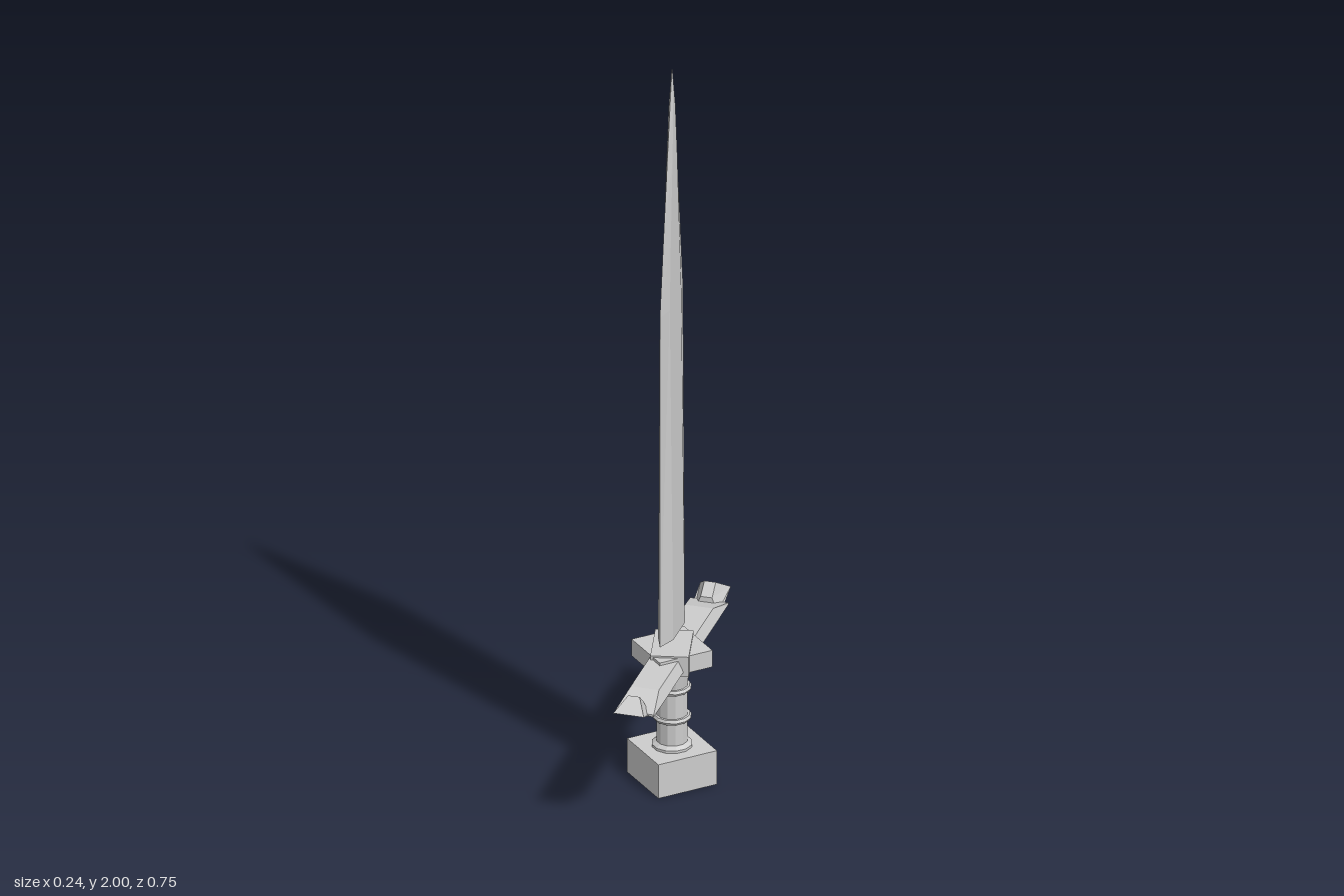
import * as THREE from 'three';

const steel = new THREE.MeshStandardMaterial({ color: 0xcccccc });
steel.name = 'steel';
steel.flatShading = true;

// Skin a row of equal-length rings (counter-clockwise seen from the far end) and cap both ends
function loft(rings) {
  const pos = [];
  const tri = (a, b, c) => pos.push(...a, ...b, ...c);
  const n = rings[0].length;
  for (let r = 0; r < rings.length - 1; r++) {
    const a = rings[r], b = rings[r + 1];
    for (let i = 0; i < n; i++) {
      const j = (i + 1) % n;
      tri(a[i], a[j], b[j]);
      tri(a[i], b[j], b[i]);
    }
  }
  const first = rings[0], last = rings[rings.length - 1];
  for (let i = 1; i < n - 1; i++) {
    tri(first[0], first[i + 1], first[i]);
    tri(last[0], last[i], last[i + 1]);
  }
  const g = new THREE.BufferGeometry();
  g.setAttribute('position', new THREE.Float32BufferAttribute(pos, 3));
  g.computeVertexNormals();
  return g;
}

export function createModel() {
  const sword = new THREE.Group();
  sword.name = 'sword';
  const add = (name, geometry, y = 0, turn = 0) => {
    const m = new THREE.Mesh(geometry, steel);
    m.name = name;
    m.position.y = y;
    m.rotation.y = turn;
    sword.add(m);
    return m;
  };

  // Blade: hexagonal section; rows are height, half width, half thickness, z offset
  const rows = [
    [0.42, 0.1, 0.02, 0.005], [1.35, 0.1, 0.011, 0.005], [1.55, 0.072, 0.009, 0.003],
    [1.75, 0.042, 0.008, 0.001], [1.9, 0.018, 0.006, 0], [2.0, 0.001, 0.001, 0],
  ];
  add('blade', loft(rows.map(([y, w, t, o]) => [
    [t, y, o + w * 0.5], [t, y, o - w * 0.5], [0, y, o - w],
    [-t, y, o - w * 0.5], [-t, y, o + w * 0.5], [0, y, o + w],
  ])));

  // Crossguard bar: bevelled top that slopes down and widens at the ends
  const bar = [[-0.323, 0.05, 0.344], [-0.235, 0.037, 0.369], [0.235, 0.037, 0.369], [0.323, 0.05, 0.344]];
  add('crossguard', loft(bar.map(([z, w, top]) => [
    [-0.05, 0.338, z], [0.05, 0.338, z], [w, top, z], [-w, top, z],
  ])));

  // Guard finials: faceted wedges; points are z, y, half width
  const wedge = [[0.377, 0.362, 0.04], [0.31, 0.336, 0.04], [0.292, 0.329, 0.03],
    [0.297, 0.365, 0.015], [0.33, 0.393, 0.015]];
  for (const turn of [0, Math.PI]) {
    add('guardFinial', loft([-1, 1].map(s => wedge.map(([z, y, w]) => [s * w, y, z]))), 0, turn);
  }

  // Stacked blocks at the centre of the guard
  const side = 0.106 * Math.SQRT2;
  add('guardBlock', new THREE.BoxGeometry(side, 0.047, side), 0.353, Math.PI / 4);
  add('guardPlate', new THREE.BoxGeometry(0.097, 0.056, 0.149), 0.353, 0.21);

  // Grip with flared ends
  const grip = [[0, 0.09], [0.052, 0.09], [0.052, 0.102], [0.04, 0.11], [0.04, 0.27],
    [0.048, 0.325], [0, 0.33]].map(([r, y]) => new THREE.Vector2(r, y));
  add('grip', new THREE.LatheGeometry(grip, 12));

  // Wire rings around the grip
  for (const y of [0.178, 0.26]) {
    const ring = new THREE.TorusGeometry(0.042, 0.008, 6, 12);
    ring.rotateX(Math.PI / 2);
    add('gripRing', ring, y);
  }

  // Square pommel set corner-forward
  const p = 0.118 * Math.SQRT2;
  add('pommel', new THREE.BoxGeometry(p, 0.095, p), 0.0475, Math.PI / 4);

  return sword;
}
